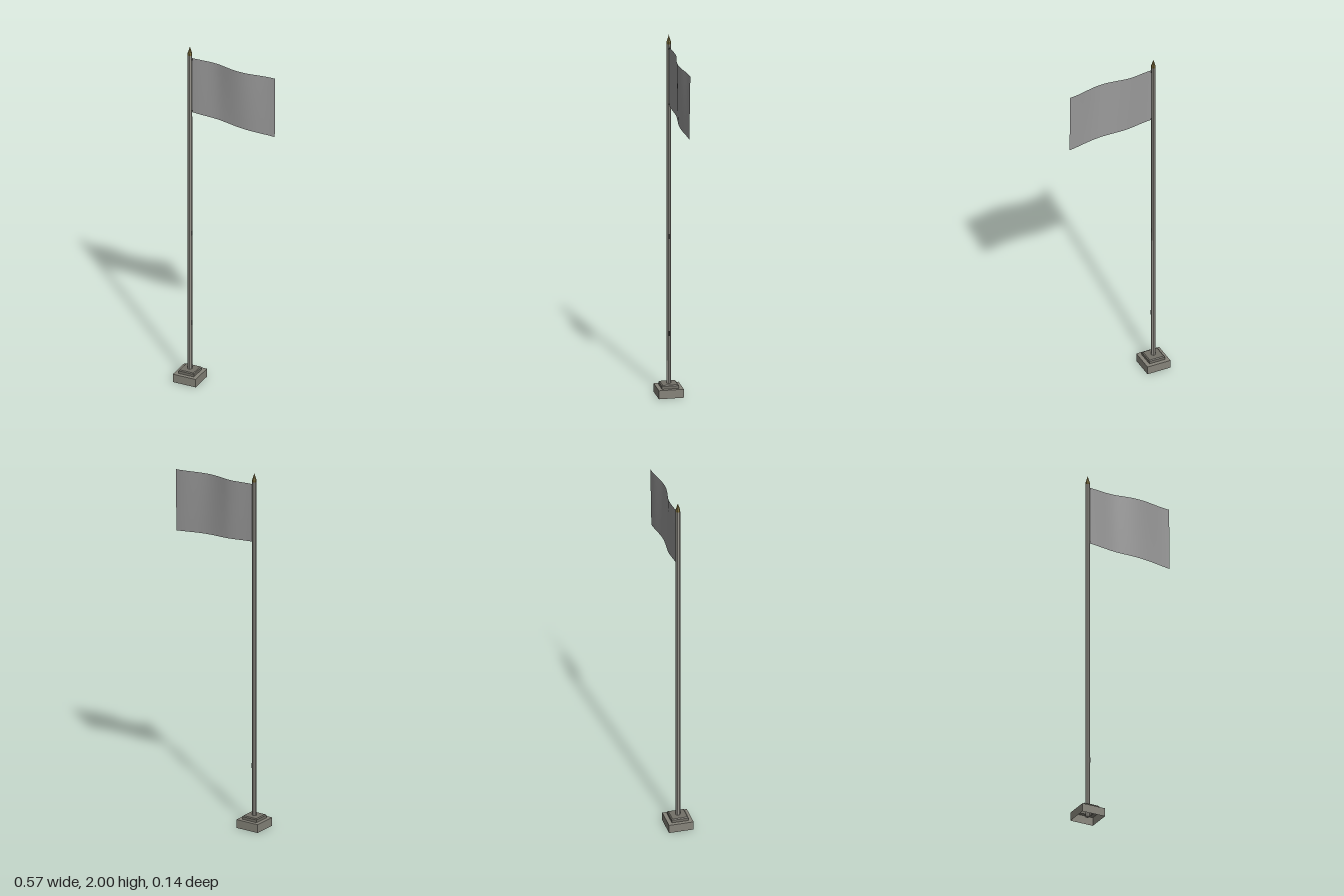
import * as THREE from 'three';

const POLE_X = -0.216;

export function createModel() {
  const group = new THREE.Group();
  const paint = (color, options = { flatShading: true }) => new THREE.MeshStandardMaterial({ color, ...options });
  const openShell = { flatShading: true, side: THREE.DoubleSide };
  const plinthGrey = paint(0x86847a, openShell);
  const stepGrey = paint(0x737168, openShell);
  const poleGrey = paint(0x96938b);
  const brass = paint(0x80703c);
  const darkMetal = paint(0x3c3c3a);
  const cloth = paint(0x9a9a9a, { side: THREE.DoubleSide });

  const add = (name, geometry, material, x, y, z = 0) => {
    const mesh = new THREE.Mesh(geometry, material);
    mesh.name = name;
    mesh.position.set(x, y, z);
    group.add(mesh);
  };
  const lathe = (points, sides) =>
    new THREE.LatheGeometry(points.map(([r, y]) => new THREE.Vector2(r, y)), sides, Math.PI / sides);
  // Square tier; profile given as half widths
  const squareTier = (points) => lathe(points.map(([h, y]) => [h * Math.SQRT2, y]), 4);

  // Stepped square base, open underneath
  add('plinth', squareTier([[0.0675, 0], [0.0675, 0.047], [0.046, 0.047]]), plinthGrey, POLE_X, 0);
  add('plinthStep', squareTier([[0.046, 0.047], [0.046, 0.062], [0.041, 0.067], [0, 0.067]]), stepGrey, POLE_X, 0);

  // Octagonal pole with a flat side to the front
  const poleBottom = 0.01, poleTop = 1.95;
  add('pole', new THREE.CylinderGeometry(0.0124, 0.0128, poleTop - poleBottom, 8, 1, false, Math.PI / 8), poleGrey,
    POLE_X, (poleTop + poleBottom) / 2);

  // Pointed finial
  add('finial', lathe([[0, 1.945], [0.012, 1.95], [0.012, 1.962], [0.009, 1.97], [0, 2]], 8), brass, POLE_X, 0);

  // Cleat and rope tie on the flag side of the pole
  add('cleat', new THREE.BoxGeometry(0.005, 0.028, 0.005), darkMetal, POLE_X + 0.013, 0.345);
  add('ropeTie', new THREE.BoxGeometry(0.002, 0.028, 0.006), darkMetal, POLE_X + 0.0115, 0.882);

  // Clips holding the corners of the flag
  for (const y of [1.925, 1.618]) {
    add('flagClip', new THREE.BoxGeometry(0.006, 0.008, 0.008), darkMetal, POLE_X + 0.011, y);
  }

  // Rippling flag: the wave grows away from the pole and is stronger towards the top
  const flag = new THREE.PlaneGeometry(1, 1, 24, 6);
  const p = flag.attributes.position;
  for (let i = 0; i < p.count; i++) {
    const u = p.getX(i) + 0.5, v = p.getY(i) + 0.5;
    const x = -0.207 + 0.489 * u;
    const top = 1.935 - 0.015 * u, bottom = 1.61 - 0.038 * u;
    const wave = Math.sin((2 * Math.PI * x) / 0.39 + 0.4 * (v - 0.5));
    p.setXYZ(i, x, bottom + (top - bottom) * v, (0.008 + 0.005 * v) * Math.min(1, u * 3) * wave);
  }
  flag.computeVertexNormals();
  add('flag', flag, cloth, 0, 0);

  return group;
}
